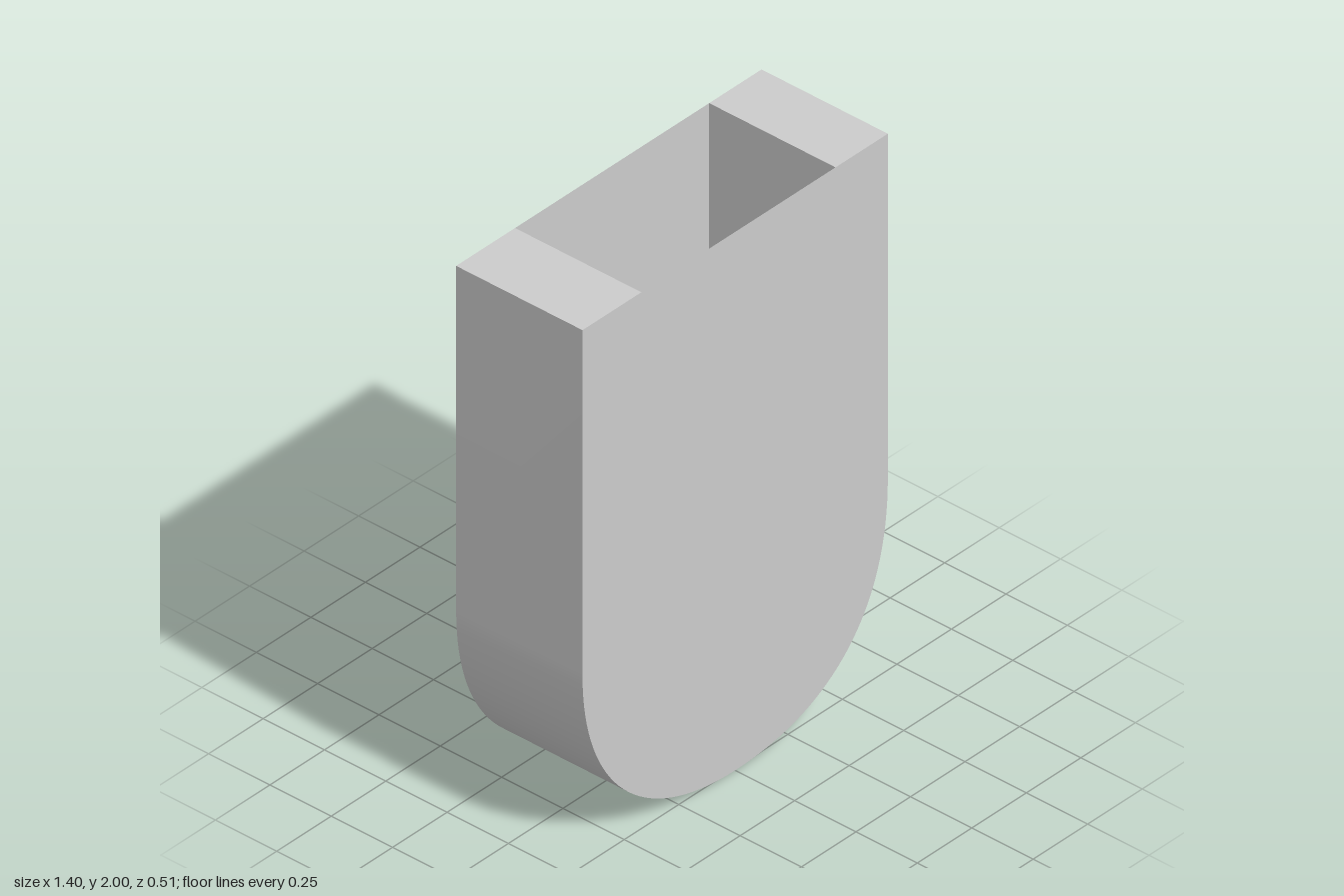
import * as THREE from 'three';
import { toCreasedNormals } from 'three/addons/utils/BufferGeometryUtils.js';

const DEPTH = 0.515;
const TOP = 2;

// Adds a rounded bottom from the left side (x0, y1) through (mid, y0) to the right side (x1, y1).
function roundBottom(shape, x0, x1, y0, y1, kLeft, kRight) {
  const mid = (x0 + x1) / 2, w = (x1 - x0) / 2, h = y1 - y0;
  shape.bezierCurveTo(x0, y1 - h * kLeft, mid - w * kLeft, y0, mid, y0);
  shape.bezierCurveTo(mid + w * kRight, y0, x1, y1 - h * kRight, x1, y1);
}

export function createModel() {
  const group = new THREE.Group();
  group.name = 'pouch';
  const material = new THREE.MeshStandardMaterial({ color: 0xcccccc });
  const thin = new THREE.MeshStandardMaterial({ color: 0xcccccc, side: THREE.DoubleSide });

  // Cavity outline, open at the top
  const cavity = new THREE.Shape();
  cavity.moveTo(-0.43, TOP);
  cavity.lineTo(-0.43, 0.78);
  roundBottom(cavity, -0.43, 0.46, 0.17, 0.78, 0.56, 0.58);
  cavity.lineTo(0.46, TOP);
  cavity.closePath();

  // U-shaped wall: outer outline, then back along the cavity
  const wall = new THREE.Shape();
  wall.moveTo(-0.7, TOP);
  wall.lineTo(-0.7, 0.72);
  roundBottom(wall, -0.7, 0.7, 0, 0.72, 0.61, 0.65);
  wall.lineTo(0.7, TOP);
  cavity.getPoints(32).reverse().forEach((p, i) => {
    if (i > 0) wall.lineTo(p.x, p.y); // skip the closing point
  });
  wall.closePath();

  const wallGeometry = new THREE.ExtrudeGeometry(wall, {
    depth: DEPTH, bevelEnabled: false, curveSegments: 32,
  });
  wallGeometry.translate(0, 0, -DEPTH / 2);
  const wallMesh = new THREE.Mesh(toCreasedNormals(wallGeometry, 0.5), material);
  wallMesh.name = 'curvedWall';
  group.add(wallMesh);

  // Paper-thin panels closing the cavity at the front and back
  for (const [name, z] of [['frontPanel', DEPTH / 2], ['backPanel', -DEPTH / 2]]) {
    const panel = new THREE.Mesh(new THREE.ShapeGeometry(cavity, 32), thin);
    panel.name = name;
    panel.position.z = z;
    group.add(panel);
  }
  return group;
}
